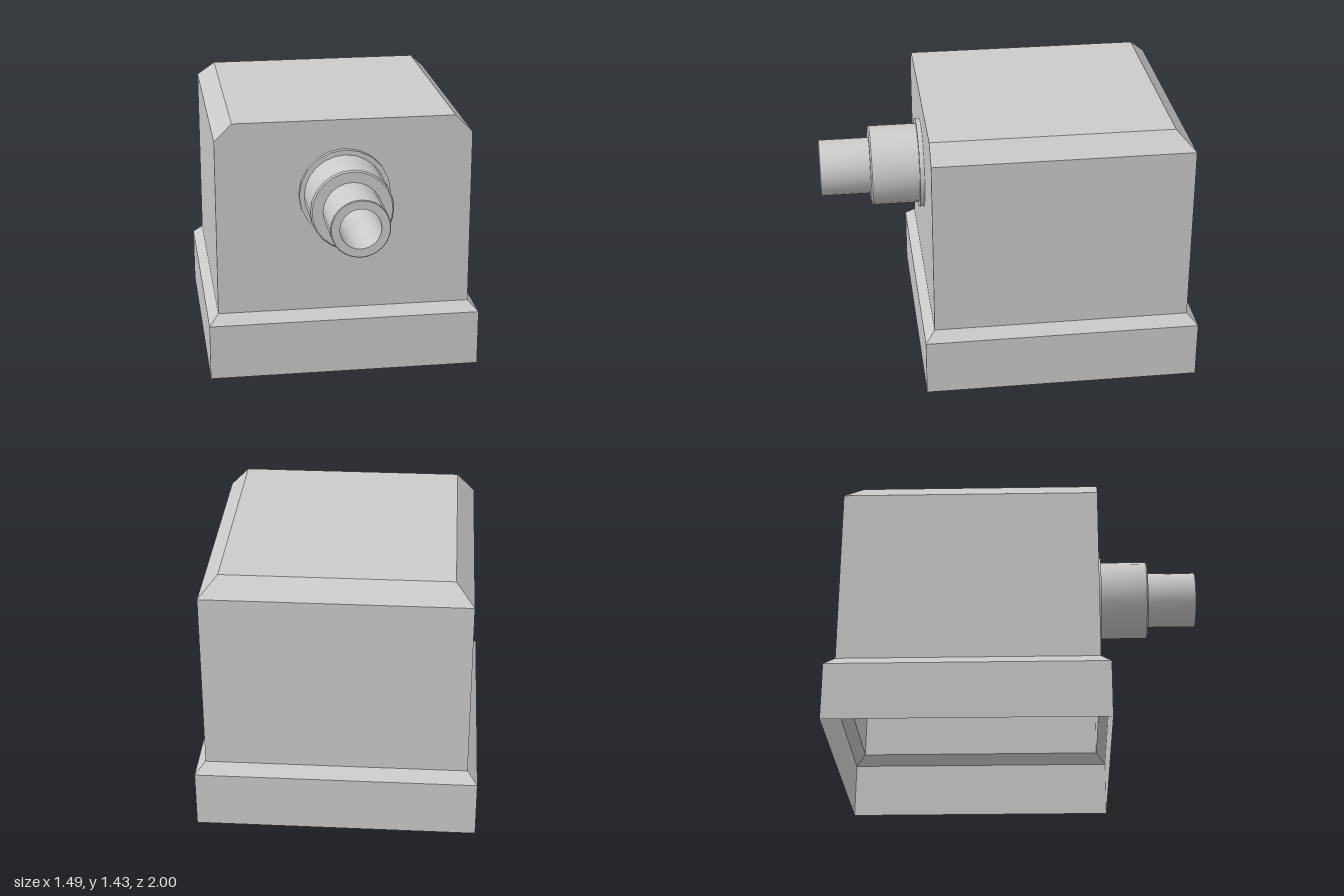
import * as THREE from 'three';
import { toCreasedNormals } from 'three/addons/utils/BufferGeometryUtils.js';

const grey = new THREE.MeshStandardMaterial({ color: 0xcccccc, side: THREE.DoubleSide });

// Flat-faced shell lofted through rectangular rings [halfWidth, back z, front z, y]
function loftRings(rings, capTop) {
  const pos = [];
  const corners = ([w, back, front, y]) => [[-w, y, front], [w, y, front], [w, y, back], [-w, y, back]];
  const quad = (a, b, c, d) => pos.push(...a, ...b, ...c, ...a, ...c, ...d);
  for (let i = 0; i < rings.length - 1; i++) {
    const lo = corners(rings[i]), hi = corners(rings[i + 1]);
    for (let k = 0; k < 4; k++) {
      const n = (k + 1) % 4;
      quad(lo[k], lo[n], hi[n], hi[k]);
    }
  }
  if (capTop) quad(...corners(rings[rings.length - 1]));
  const geo = new THREE.BufferGeometry();
  geo.setAttribute('position', new THREE.Float32BufferAttribute(pos, 3));
  geo.computeVertexNormals();
  return geo;
}

// Turned part along +z from [radius, z] profile points
function turned(profile, segments) {
  const geo = new THREE.LatheGeometry(profile.map(([r, z]) => new THREE.Vector2(r, z)), segments);
  geo.rotateX(Math.PI / 2);
  return toCreasedNormals(geo, Math.PI / 6);
}

export function createModel() {
  const model = new THREE.Group();
  const add = (name, geo, parent = model) => {
    const mesh = new THREE.Mesh(geo, grey);
    mesh.name = name;
    parent.add(mesh);
  };

  // Plinth: open underneath, with a sloped ledge up to the housing
  add('basePlinth', loftRings([
    [0.745, -1, 0.49, 0],
    [0.745, -1, 0.49, 0.31],
    [0.692, -0.945, 0.437, 0.363],
  ], false));

  // Housing: hollow, chamfered along the back and sides of the top
  add('housing', loftRings([
    [0.692, -0.945, 0.437, 0.363],
    [0.692, -0.945, 0.437, 1.34],
    [0.597, -0.85, 0.437, 1.435],
  ], true));

  // Stepped spout on the front
  const spout = new THREE.Group();
  spout.name = 'spout';
  spout.position.y = 1.027;
  model.add(spout);
  add('flange', turned([[0.247, 0.437], [0.247, 0.462], [0.2, 0.462]], 20), spout);
  add('collar', turned([[0.22, 0.462], [0.22, 0.718], [0.212, 0.726], [0.14, 0.726]], 24), spout);
  add('nozzle', turned([
    [0.155, 0.726], [0.155, 0.996], [0.151, 1], [0.107, 1], [0.107, 0.44],
  ], 24), spout);

  return model;
}
